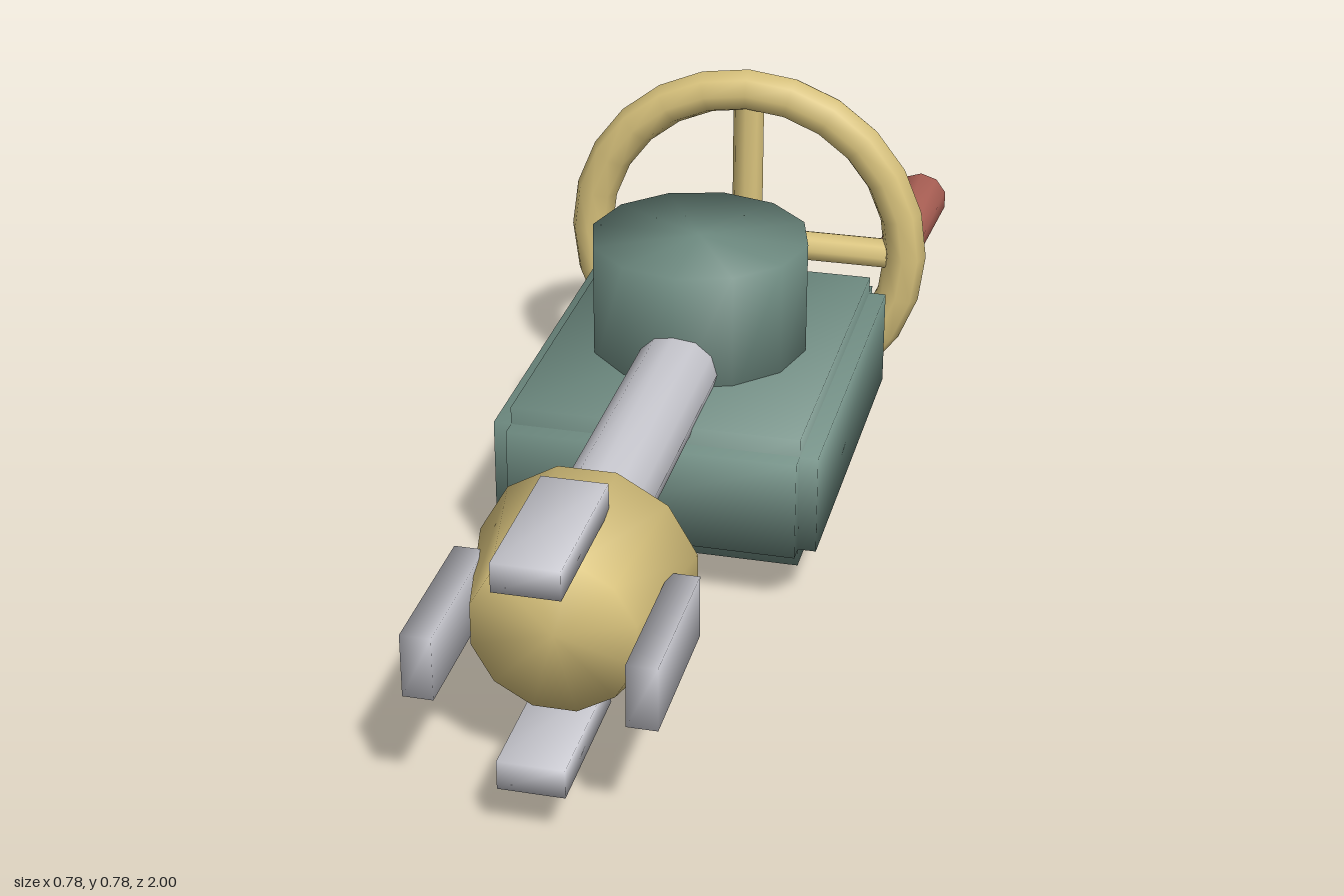
import * as THREE from 'three';
import { mergeVertices } from 'three/addons/utils/BufferGeometryUtils.js';

const mat = (name, color) => {
  const m = new THREE.MeshStandardMaterial({ color });
  m.name = name;
  return m;
};

// Weld corners so that shading runs smoothly over every edge
function soften(geometry) {
  geometry.deleteAttribute('normal');
  geometry.deleteAttribute('uv');
  const welded = mergeVertices(geometry, 1e-4);
  welded.computeVertexNormals();
  return welded;
}

const softBox = (w, h, d) => soften(new THREE.BoxGeometry(w, h, d));
const softCylinder = (rTop, rBottom, length, sides, start = 0) =>
  soften(new THREE.CylinderGeometry(rTop, rBottom, length, sides, 1, false, start));

export function createModel() {
  const green = mat('green paint', 0x6f8c82);
  const brass = mat('brass', 0xd8c27c);
  const steel = mat('steel', 0xc9c9d0);
  const red = mat('red grip', 0xab6055);

  const model = new THREE.Group();
  model.name = 'handCrankDrill';

  function add(name, geometry, material, x, y, z, parent = model) {
    const mesh = new THREE.Mesh(geometry, material);
    mesh.name = name;
    mesh.position.set(x, y, z);
    parent.add(mesh);
    return mesh;
  }

  // Gear housing: three crossed blocks leave stepped edges
  const housing = new THREE.Group();
  housing.name = 'gearHousing';
  model.add(housing);
  add('housingWide', softBox(0.64, 0.202, 0.755), green, 0, 0.232, -0.233, housing);
  add('housingTall', softBox(0.57, 0.274, 0.755), green, 0, 0.232, -0.233, housing);
  add('housingLong', softBox(0.57, 0.202, 0.826), green, 0, 0.232, -0.233, housing);

  // Turret on top of the housing
  add('turret', softCylinder(0.22, 0.22, 0.27, 12), green, 0, 0.465, -0.235);

  // Shaft running forward from the turret into the chuck
  const shaft = softCylinder(0.082, 0.082, 0.8, 12).rotateX(Math.PI / 2);
  add('shaft', shaft, steel, 0, 0.393, 0.3);

  // Tapered chuck, wide end at the back
  const chuck = softCylinder(0.152, 0.205, 0.23, 12, Math.PI / 12).rotateX(Math.PI / 2);
  add('chuck', chuck, brass, 0, 0.325, 0.735);

  // Four jaws around the chuck
  const jawFlat = softBox(0.12, 0.055, 0.3);
  const jawUpright = softBox(0.055, 0.12, 0.3);
  for (const side of [-1, 1]) {
    add('jaw', jawFlat, steel, 0, 0.325 + side * 0.193, 0.85);
    add('jaw', jawUpright, steel, side * 0.193, 0.325, 0.85);
  }

  // Crank wheel with crossed spokes
  const wheel = new THREE.Group();
  wheel.name = 'crankWheel';
  wheel.position.set(0, 0.393, -0.69);
  model.add(wheel);
  const rim = new THREE.TorusGeometry(0.346, 0.045, 8, 24);
  add('rim', rim, brass, 0, 0, 0, wheel);
  for (const turn of [0, Math.PI / 2]) {
    const spoke = softCylinder(0.033, 0.033, 0.62, 8).rotateZ(turn);
    add('spoke', spoke, brass, 0, 0, 0, wheel);
  }

  // Crank grip, flaring toward its free end
  const grip = softCylinder(0.043, 0.058, 0.29, 10).rotateX(Math.PI / 2);
  add('grip', grip, red, 0.33, 0.397, -0.855);

  return model;
}
